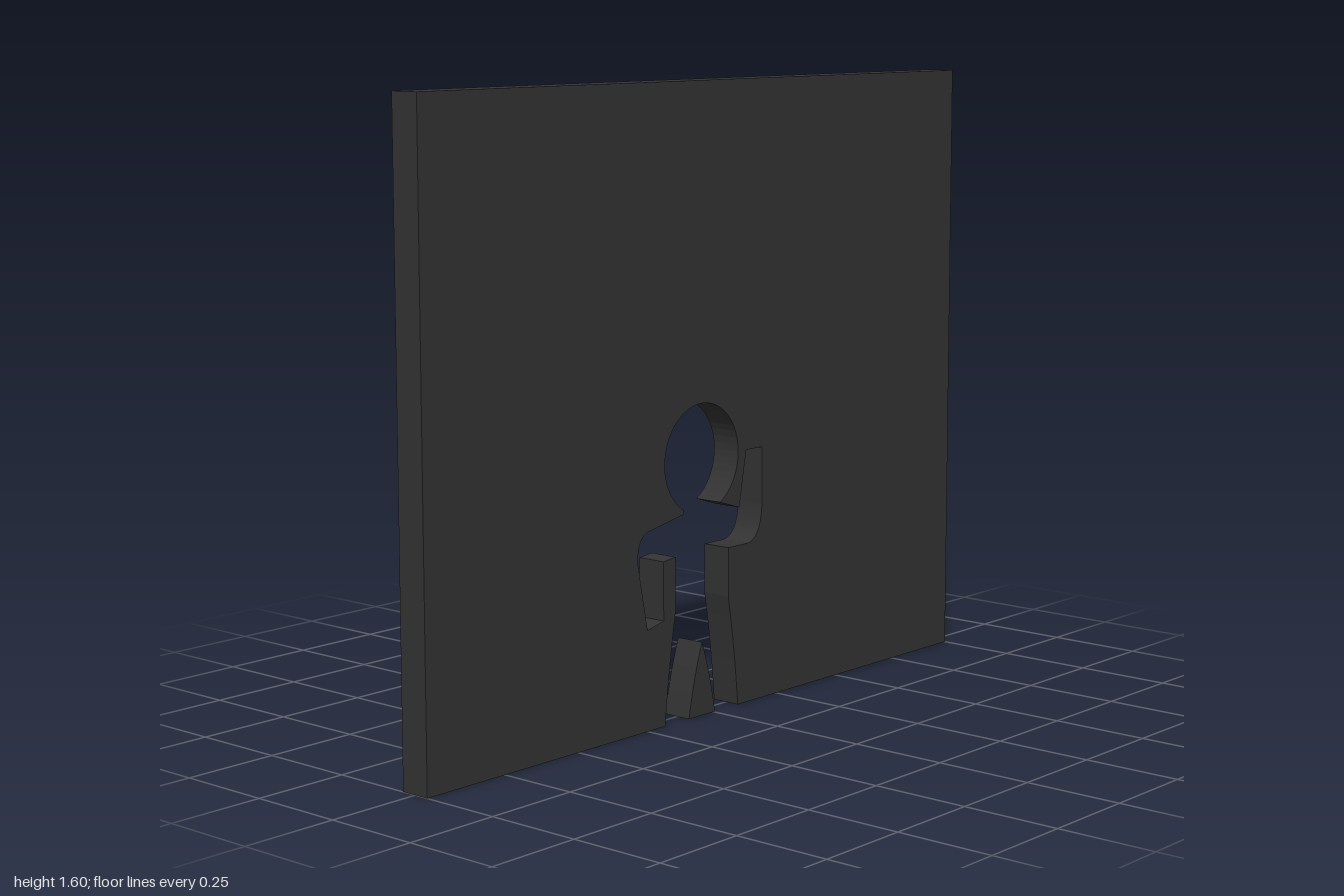
import * as THREE from 'three';

const DEPTH = 0.08;

function slab(name, shape, material) {
  const geometry = new THREE.ExtrudeGeometry(shape, { depth: DEPTH, bevelEnabled: false, curveSegments: 20 });
  geometry.translate(0, 0, -DEPTH / 2);
  const mesh = new THREE.Mesh(geometry, material);
  mesh.name = name;
  return mesh;
}

export function createModel() {
  const group = new THREE.Group();
  group.name = 'wallWithFigureCutout';
  const material = new THREE.MeshStandardMaterial({ color: 0x333333 });

  // Wall outline, running around the figure-shaped opening at the bottom edge
  const wall = new THREE.Shape();
  const lines = (...points) => points.forEach(([x, y]) => wall.lineTo(x, y));
  wall.moveTo(-1, 0);
  lines([-0.185, 0]);
  // outer leg and side of the body
  wall.quadraticCurveTo(-0.17, 0.155, -0.145, 0.29);
  // lowered arm
  lines([-0.145, 0.425], [-0.19, 0.42], [-0.19, 0.27], [-0.25, 0.257], [-0.285, 0.43]);
  wall.quadraticCurveTo(-0.285, 0.49, -0.25, 0.503);
  lines([-0.115, 0.528]);
  // round head
  wall.absarc(-0.045, 0.66, 0.14, Math.PI * 4 / 3, -Math.PI / 3, true);
  // raised arm
  lines([0.1, 0.515], [0.127, 0.66], [0.19, 0.66], [0.19, 0.51]);
  wall.quadraticCurveTo(0.185, 0.42, 0.13, 0.417);
  lines([0.057, 0.417], [0.057, 0.29]);
  // other side of the body and leg
  wall.quadraticCurveTo(0.082, 0.155, 0.095, 0);
  lines([1, 0], [1, 1.6], [-1, 1.6], [-1, 0]);
  group.add(slab('wall', wall, material));

  // Solid wedge between the legs
  const wedge = new THREE.Shape();
  wedge.moveTo(-0.095, 0);
  wedge.quadraticCurveTo(-0.078, 0.1, -0.045, 0.19);
  wedge.quadraticCurveTo(-0.012, 0.1, 0.005, 0);
  wedge.closePath();
  group.add(slab('legWedge', wedge, material));

  return group;
}
